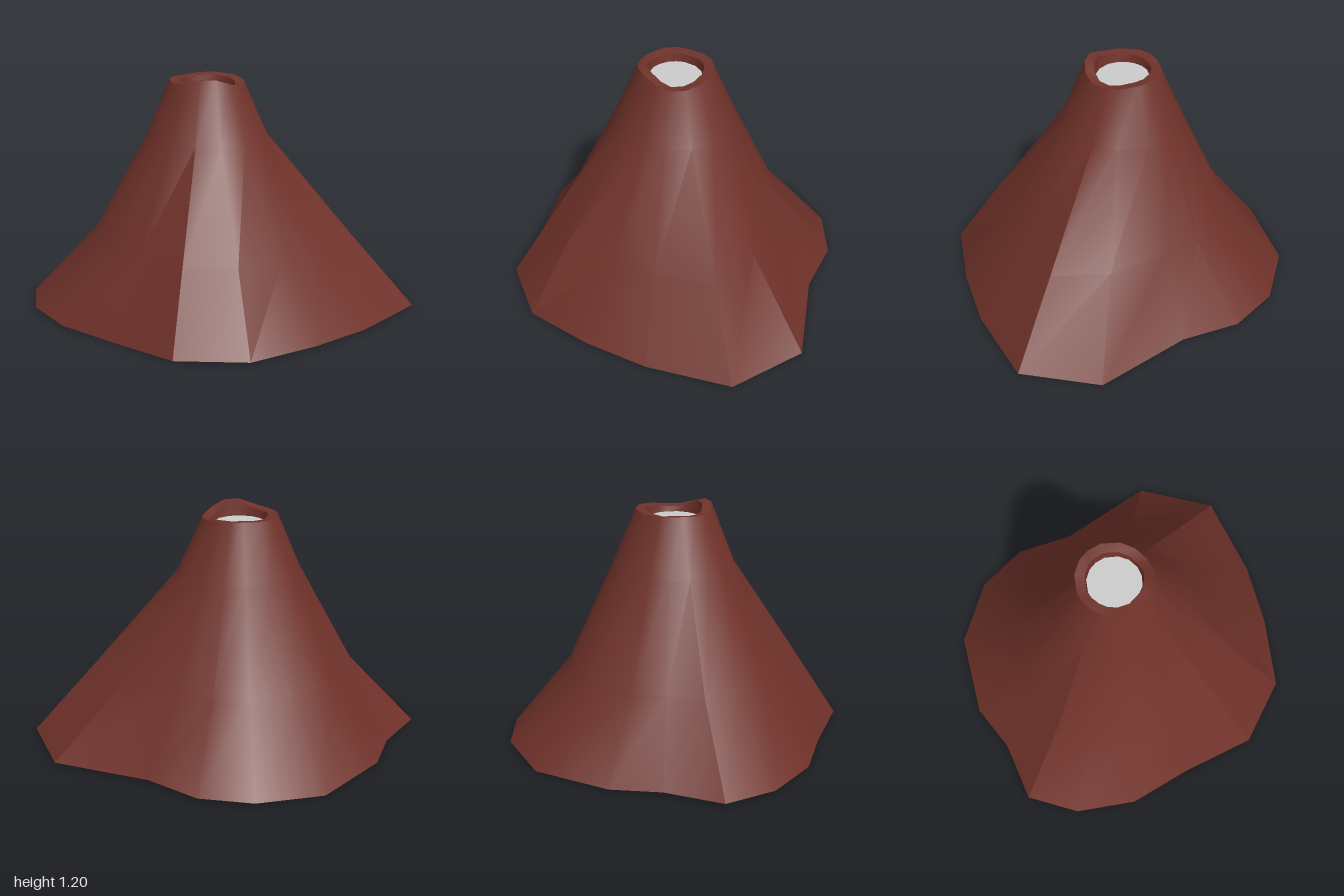
import * as THREE from 'three';
import { toCreasedNormals } from 'three/addons/utils/BufferGeometryUtils.js';

// Irregular foot of the mountain: x, z, flare (below 1 = slope hollowed), rim height
const SPOKES = [
  [1, 0, 0.99, 1.155], [0.76, 0.37, 0.97, 1.155], [0.53, 0.61, 0.97, 1.175], [0.24, 0.84, 1.01, 1.2],
  [-0.12, 0.865, 1, 1.2], [-0.44, 0.655, 0.97, 1.175], [-0.73, 0.5, 0.9, 1.17], [-0.93, 0.265, 0.87, 1.17],
  [-1, 0, 0.87, 1.175], [-0.82, -0.25, 0.9, 1.175], [-0.73, -0.49, 0.89, 1.17], [-0.43, -0.79, 0.87, 1.175],
  [-0.09, -0.87, 0.86, 1.18], [0.18, -0.805, 0.87, 1.175], [0.41, -0.61, 0.9, 1.175], [0.875, -0.4, 0.88, 1.165],
];
const CX = -0.07, CZ = -0.01; // crater axis

// One ring of points; rule(spoke, baseRadius, index) gives [radius, y]
function ring(rule) {
  return SPOKES.map((s, i) => {
    const dx = s[0] - CX, dz = s[1] - CZ, base = Math.hypot(dx, dz);
    const [r, y] = rule(s, base, i);
    return new THREE.Vector3(CX + (dx / base) * r, y, CZ + (dz / base) * r);
  });
}

// Skin consecutive rings with triangles, skipping collapsed ones
function loft(rings) {
  const pos = [];
  const tri = (a, b, c) => {
    if (a.equals(b) || b.equals(c) || c.equals(a)) return;
    for (const p of [a, b, c]) pos.push(p.x, p.y, p.z);
  };
  for (let k = 0; k < rings.length - 1; k++) {
    const lo = rings[k], hi = rings[k + 1], n = lo.length;
    for (let i = 0; i < n; i++) {
      const j = (i + 1) % n;
      tri(lo[i], hi[i], lo[j]);
      tri(lo[j], hi[i], hi[j]);
    }
  }
  const g = new THREE.BufferGeometry();
  g.setAttribute('position', new THREE.Float32BufferAttribute(pos, 3));
  return toCreasedNormals(g, Math.PI / 6);
}

export function createModel() {
  const group = new THREE.Group();
  group.name = 'volcano';

  const footY = (i) => (i === 5 || i === 11 ? 0 : 0.012);
  const neck = 0.31;
  const floor = ring(() => [0.135, 1.125]);

  // Mountain: underside, slopes, rim and crater wall
  const mountain = new THREE.Mesh(
    loft([
      ring(() => [0, 0.008]),
      ring((s, base, i) => [base, footY(i)]),
      ring((s, base) => [(neck + 0.58 * (base - neck)) * s[2], 0.385]),
      ring(() => [neck, 0.89]),
      ring((s) => [0.19, s[3]]),
      ring((s) => [0.142, s[3] - 0.005]),
      floor,
    ]),
    new THREE.MeshStandardMaterial({ color: 0x70322a })
  );
  mountain.name = 'mountain';
  group.add(mountain);

  // Flat pool closing the crater
  const pool = new THREE.Mesh(
    loft([floor, ring(() => [0, 1.125])]),
    new THREE.MeshStandardMaterial({ color: 0xcccccc })
  );
  pool.name = 'craterPool';
  group.add(pool);

  return group;
}
